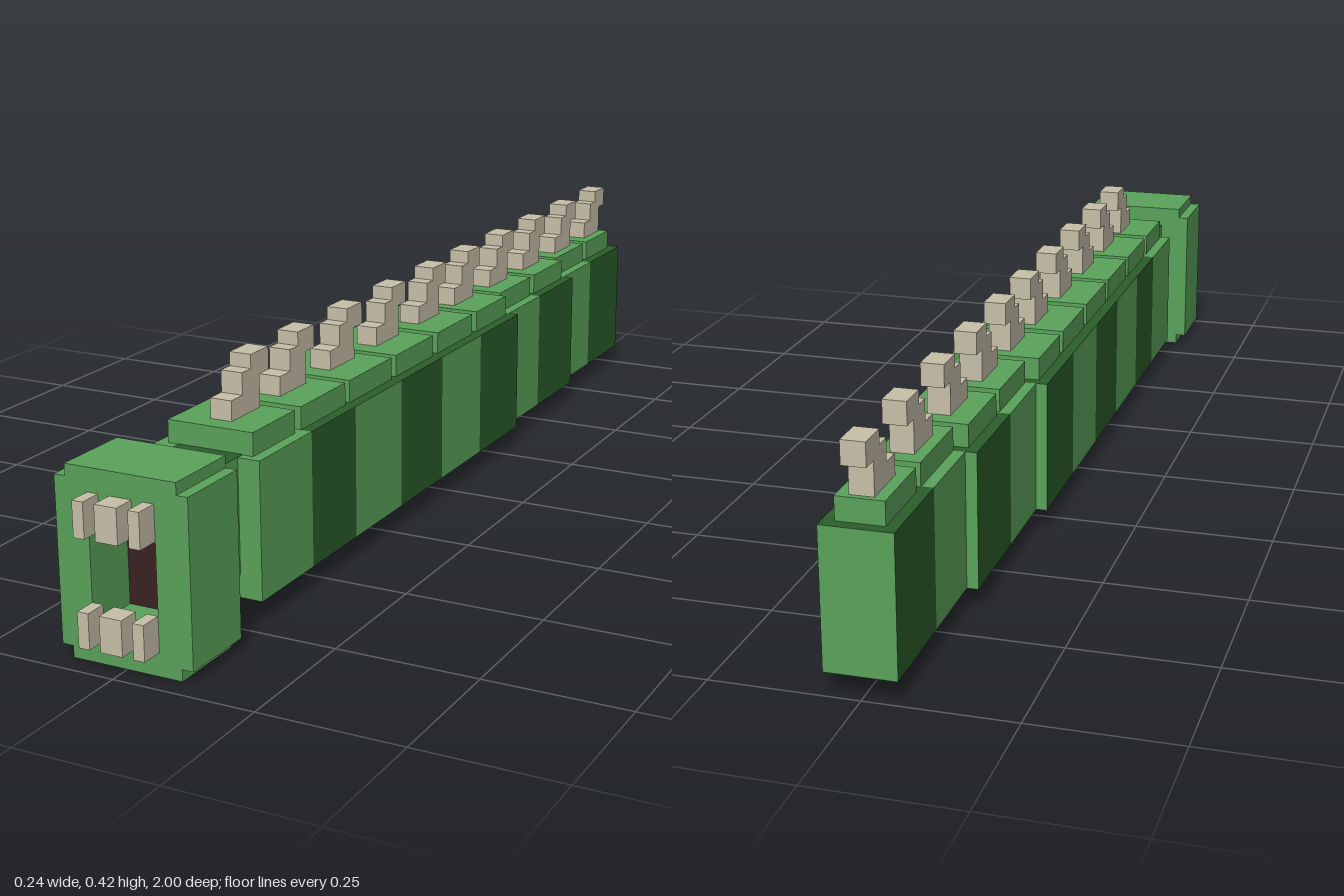
import * as THREE from 'three';

const mat = (name, color) => Object.assign(new THREE.MeshStandardMaterial({ color }), { name });

export function createModel() {
  const light = mat('lightGreen', 0x5ba35b);
  const dark = mat('darkGreen', 0x2b5e2b);
  const bone = mat('bone', 0xc8c1aa);
  const maroon = mat('mouthMaroon', 0x3b2223);
  const model = new THREE.Group();
  model.name = 'segmentedCreature';

  const add = (parent, name, geometry, material) => {
    const mesh = new THREE.Mesh(geometry, material);
    mesh.name = name;
    parent.add(mesh);
    return mesh;
  };
  // box given by its limits on each axis
  const box = (parent, name, x0, x1, y0, y1, z0, z1, material) => {
    const mesh = add(parent, name, new THREE.BoxGeometry(x1 - x0, y1 - y0, z1 - z0), material);
    mesh.position.set((x0 + x1) / 2, (y0 + y1) / 2, (z0 + z1) / 2);
    return mesh;
  };
  // face order: +x, -x, +y, -y, +z, -z
  const faces = (side, top) => [side, side, top, light, light, light];

  // body: segments tapering in width towards the tail, alternating side colours
  const cuts = [0.72, 0.55, 0.394, 0.217, 0.045, -0.13, -0.314, -0.475, -0.663, -0.82, -1];
  const plates = [[0.705, 0.57], [0.55, 0.394], [0.378, 0.217], [0.2, 0.045], [0.024, -0.132],
    [-0.153, -0.295], [-0.314, -0.47], [-0.49, -0.645], [-0.662, -0.823], [-0.843, -0.98]];
  const spikeEnds = [0.55, 0.394, 0.217, 0.04, -0.137, -0.298, -0.47, -0.643, -0.823, -1];

  // stepped spike profile, (distance towards the front, height)
  const spikeShape = new THREE.Shape([
    [0.03, 0.32], [0.12, 0.32], [0.12, 0.355], [0.085, 0.355], [0.085, 0.393],
    [0.057, 0.393], [0.057, 0.417], [0, 0.417], [0, 0.377], [0.03, 0.377],
  ].map(([a, b]) => new THREE.Vector2(a, b)));
  const spikeGeo = new THREE.ExtrudeGeometry(spikeShape, { depth: 0.04, bevelEnabled: false });
  spikeGeo.translate(0, 0, -0.02).rotateY(-Math.PI / 2);

  plates.forEach(([front, back], i) => {
    const segment = new THREE.Group();
    segment.name = 'segment' + (i + 1);
    model.add(segment);
    const w = i < 6 ? 0.1 : i < 8 ? 0.08 : 0.06;
    const side = i % 2 ? dark : light;
    const top = i === 0 || i === 6 || i === 8 ? light : dark;
    box(segment, 'bodySegment', -w, w, 0.04, 0.28, cuts[i + 1], cuts[i], faces(side, top));
    box(segment, 'backPlate', -w + 0.02, w - 0.02, 0.28, 0.32, back, front, light);
    add(segment, 'spike', spikeGeo, bone).position.z = spikeEnds[i];
  });

  // neck
  box(model, 'neck', -0.06, 0.06, 0.08, 0.281, 0.7, 0.83, faces(light, dark));

  // head: notched block with an open mouth
  const head = new THREE.Group();
  head.name = 'head';
  model.add(head);
  const outline = new THREE.Shape([
    [-0.1, 0], [0.1, 0], [0.1, 0.02], [0.12, 0.02], [0.12, 0.3], [0.1, 0.3],
    [0.1, 0.32], [-0.1, 0.32], [-0.1, 0.3], [-0.12, 0.3], [-0.12, 0.02], [-0.1, 0.02],
  ].map(([a, b]) => new THREE.Vector2(a, b)));
  outline.holes.push(new THREE.Path([
    [-0.06, 0.06], [-0.06, 0.26], [0.06, 0.26], [0.06, 0.06],
  ].map(([a, b]) => new THREE.Vector2(a, b))));
  const skull = new THREE.ExtrudeGeometry(outline, { depth: 0.14, bevelEnabled: false });
  add(head, 'skull', skull, light).position.z = 0.82;
  box(head, 'skullBack', -0.06, 0.06, 0.06, 0.26, 0.82, 0.855, light);
  box(head, 'mouthLining', -0.06, 0.06, 0.06, 0.26, 0.855, 0.86, maroon);

  // teeth: one wide and two narrow in each jaw
  for (const y of [0.04, 0.22]) {
    for (const [x0, x1] of [[-0.06, -0.04], [-0.02, 0.02], [0.04, 0.06]]) {
      box(head, 'tooth', x0, x1, y, y + 0.06, 0.96, 1, bone);
    }
  }
  return model;
}
